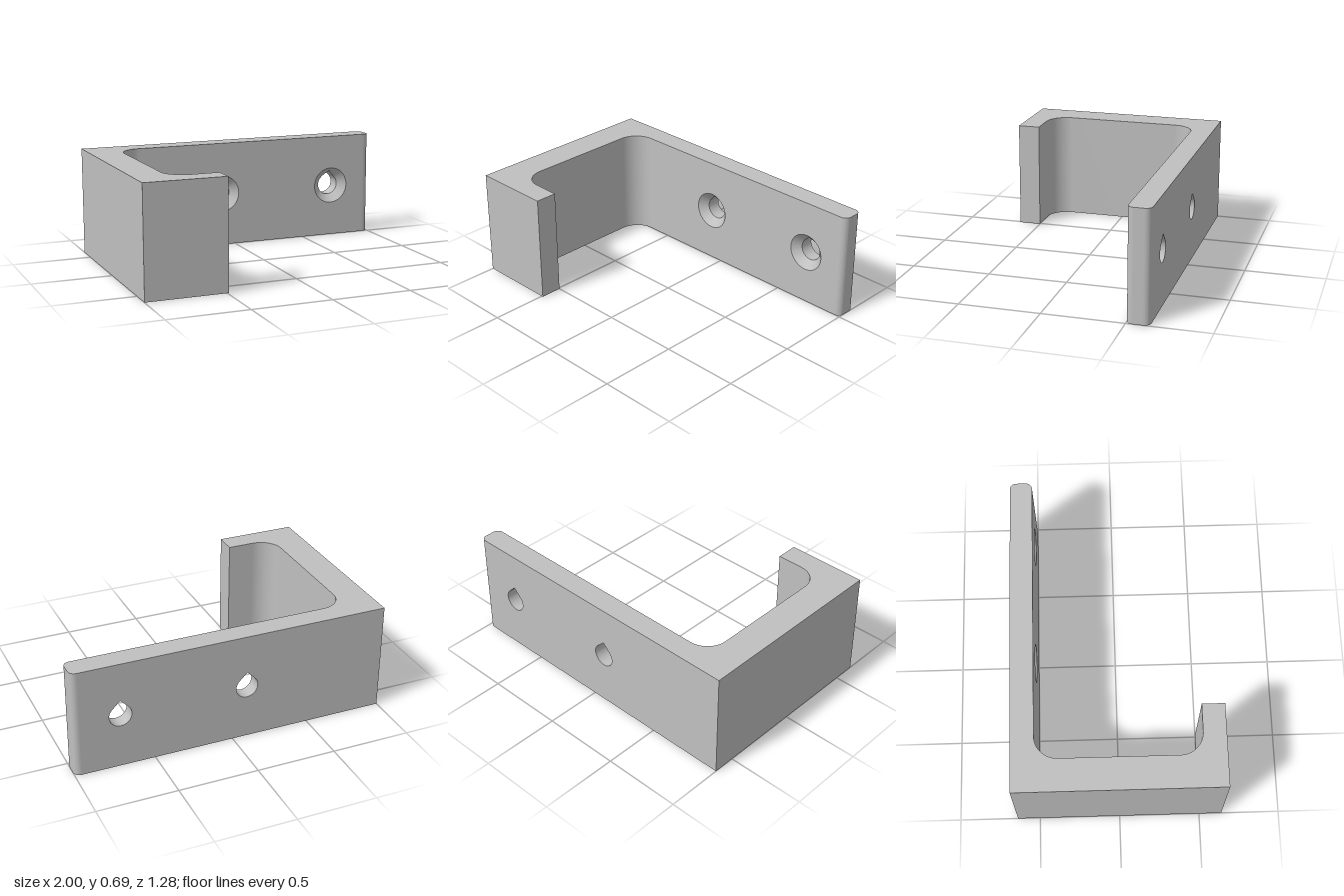
import * as THREE from 'three';
import { mergeGeometries, toCreasedNormals } from 'three/addons/utils/BufferGeometryUtils.js';

const H = 0.685;                    // height
const BACK = -0.64, INNER = -0.5;   // faces of the mounting plate
const PLATE_X0 = -0.66, PLATE_X1 = 0.96;
const FILLET = 0.14, TIP = 0.04;
const HOLE_R = 0.07, SINK_R = 0.12, HOLE_Y = 0.345, HOLES_X = [-0.09, 0.71];
const N = 64;

// Teardrop radius at angle a from straight up: a circle with a 45 degree peak
function teardrop(a) {
  const off = Math.abs(Math.atan2(Math.sin(a), Math.cos(a)));
  return off < Math.PI / 4 ? HOLE_R / Math.cos(Math.PI / 4 - off) : HOLE_R;
}

// Ring of points around a hole, with radius and depth given by functions of the angle
function ring(cx, radius, depth) {
  return Array.from({ length: N }, (_, i) => {
    const a = (i / N) * Math.PI * 2;
    const r = radius(a);
    return new THREE.Vector3(cx + r * Math.sin(a), HOLE_Y + r * Math.cos(a), depth(r));
  });
}

// Countersink cone followed by the straight teardrop bore
function holeWall(cx) {
  const rings = [
    ring(cx, () => SINK_R, () => INNER),
    ring(cx, teardrop, r => INNER - (SINK_R - r)),
    ring(cx, teardrop, () => BACK),
  ];
  const points = [];
  for (let k = 0; k < 2; k++) {
    for (let i = 0; i < N; i++) {
      const j = (i + 1) % N;
      const [a, b, c, d] = [rings[k][i], rings[k][j], rings[k + 1][i], rings[k + 1][j]];
      points.push(a, c, b, b, c, d);
    }
  }
  const geo = new THREE.BufferGeometry().setFromPoints(points);
  return toCreasedNormals(geo, Math.PI / 6);
}

// Flat plate face pierced by the two holes
function plateFace(radius) {
  const s = new THREE.Shape();
  s.moveTo(PLATE_X0, 0).lineTo(PLATE_X1, 0).lineTo(PLATE_X1, H).lineTo(PLATE_X0, H).closePath();
  for (const cx of HOLES_X) {
    s.holes.push(new THREE.Path(ring(cx, radius, () => 0).map(p => new THREE.Vector2(p.x, p.y))));
  }
  return new THREE.ShapeGeometry(s);
}

// Plan outline (x, -z) raised to full height
function raise(shape) {
  const geo = new THREE.ExtrudeGeometry(shape, { depth: H, bevelEnabled: false, curveSegments: 16 });
  return toCreasedNormals(geo.rotateX(-Math.PI / 2), Math.PI / 6);
}

export function createModel() {
  const group = new THREE.Group();
  const grey = new THREE.MeshStandardMaterial({ color: 0xc0c0c0 });
  grey.name = 'grey';
  const add = (name, geo) => {
    const mesh = new THREE.Mesh(geo, grey);
    mesh.name = name;
    group.add(mesh);
  };

  // Hook: side wall, front lip and two inside fillets
  const hook = new THREE.Shape();
  hook.moveTo(-1, -0.64).lineTo(-0.49, -0.64).lineTo(-0.49, -0.5).lineTo(PLATE_X0, -0.5);
  hook.absarc(PLATE_X0, -0.5 + FILLET, FILLET, -Math.PI / 2, -Math.PI, true);
  hook.lineTo(-0.8, 0.5 - FILLET);
  hook.absarc(PLATE_X0, 0.5 - FILLET, FILLET, Math.PI, Math.PI / 2, true);
  hook.lineTo(PLATE_X0, 0.64).lineTo(-1, 0.64).closePath();
  add('hook', raise(hook));

  // Mounting plate: inner and back faces, top and bottom edges
  const width = PLATE_X1 - PLATE_X0, midX = (PLATE_X0 + PLATE_X1) / 2, midZ = (BACK + INNER) / 2;
  const backFace = plateFace(teardrop);
  const idx = backFace.index.array;
  for (let i = 0; i < idx.length; i += 3) [idx[i], idx[i + 1]] = [idx[i + 1], idx[i]];
  backFace.computeVertexNormals();
  const edge = (turn, y) =>
    new THREE.PlaneGeometry(width, INNER - BACK).rotateX(turn).translate(midX, y, midZ);
  add('mountingPlate', mergeGeometries([
    plateFace(() => SINK_R).translate(0, 0, INNER),
    backFace.translate(0, 0, BACK),
    edge(-Math.PI / 2, H),
    edge(Math.PI / 2, 0),
  ]));

  // Countersunk screw holes
  HOLES_X.forEach(cx => add('screwHole', holeWall(cx)));

  // Rounded free end of the plate
  const tip = new THREE.Shape();
  tip.moveTo(PLATE_X1, -INNER);
  tip.absarc(1 - TIP, -INNER + TIP, TIP, -Math.PI / 2, 0, false);
  tip.absarc(1 - TIP, -BACK - TIP, TIP, 0, Math.PI / 2, false);
  tip.closePath();
  add('plateTip', raise(tip));

  return group;
}
